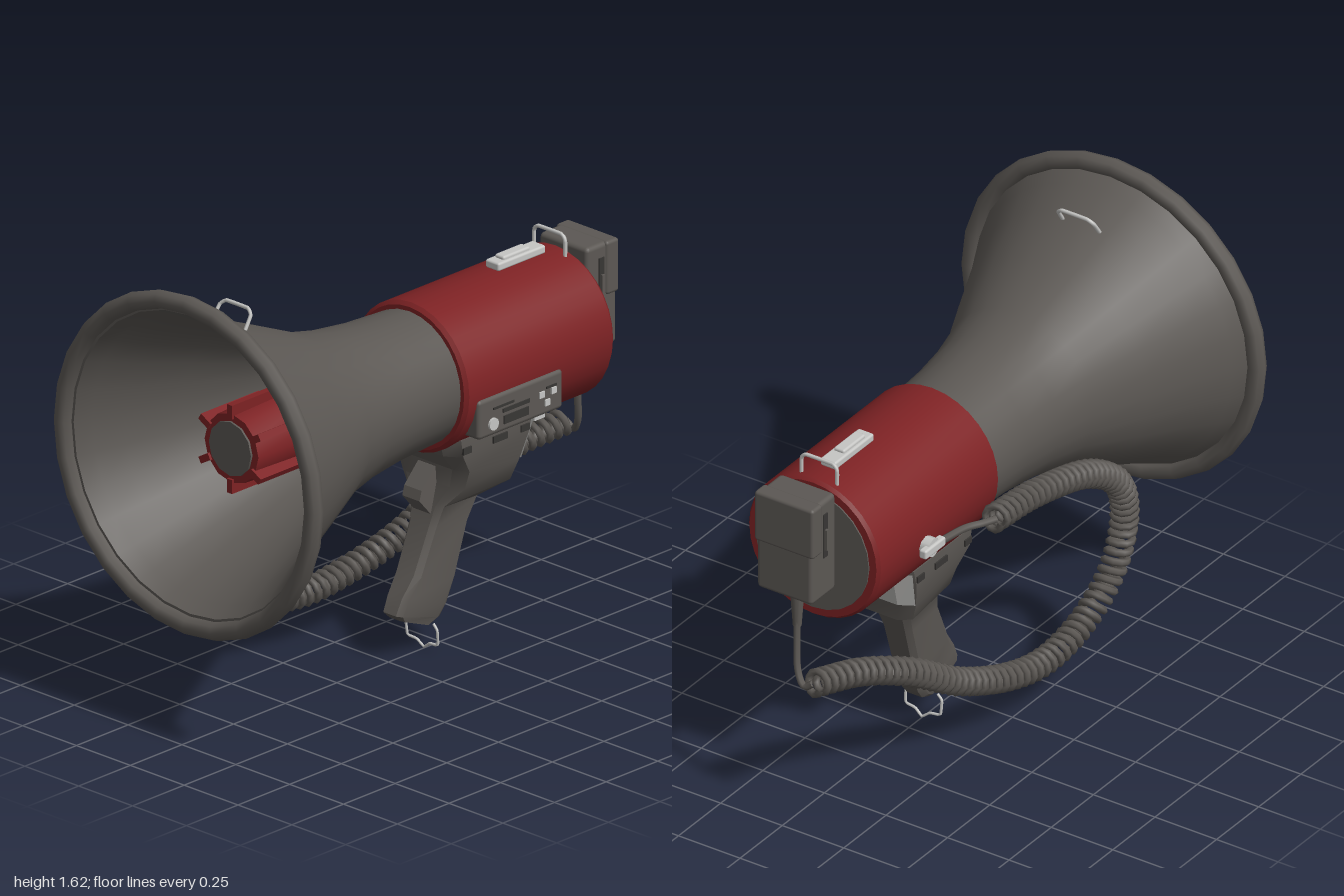
import * as THREE from 'three';
import { toCreasedNormals } from 'three/addons/utils/BufferGeometryUtils.js';
import { RoundedBoxGeometry } from 'three/addons/geometries/RoundedBoxGeometry.js';

const mat = (name, color) => Object.assign(new THREE.MeshStandardMaterial({ color }), { name });
const V = (p) => new THREE.Vector3(...p);
const AXIS = 1.007; // height of the horn axis

export function createModel() {
  const root = new THREE.Group();
  root.name = 'megaphone';
  const dark = mat('darkGrey', 0x5c5854);
  const black = mat('slotGrey', 0x383634);
  const red = mat('red', 0x7d2224);
  const silver = mat('silver', 0xc6c6c4);
  const plateMat = mat('lightGrey', 0xc0bfbc);
  plateMat.side = THREE.DoubleSide;

  const add = (name, geo, material, x = 0, y = 0, z = 0) => {
    const m = new THREE.Mesh(geo, material);
    m.name = name;
    m.position.set(x, y, z);
    root.add(m);
    return m;
  };
  const box = (name, material, x, y, z, w, h, d) => add(name, new THREE.BoxGeometry(w, h, d), material, x, y, z);
  const rbox = (name, material, x, y, z, w, h, d, r) =>
    add(name, new RoundedBoxGeometry(w, h, d, 2, r), material, x, y, z);
  // lathe around the horn axis; profile points are [x, radius]
  const turned = (name, material, profile, sides, crease) => {
    let g = new THREE.LatheGeometry(profile.map(([x, r]) => new THREE.Vector2(r, x)), sides);
    g.rotateZ(-Math.PI / 2);
    if (crease) g = toCreasedNormals(g, crease);
    return add(name, g, material, 0, AXIS, 0);
  };
  const wire = (name, material, pts, r, tension = 0.15, seg = 28) =>
    add(name, new THREE.TubeGeometry(new THREE.CatmullRomCurve3(pts.map(V), false, 'catmullrom', tension), seg, r, 6), material);

  // horn: inner wall from throat to mouth, then outer wall back
  const flare = [[-0.96, 0.555], [-0.9, 0.525], [-0.8, 0.475], [-0.6, 0.39], [-0.4, 0.302],
    [-0.25, 0.268], [-0.1, 0.25], [0.11, 0.239]];
  const inner = flare.map(([x, r]) => [x, r - 0.014]).reverse();
  turned('horn', dark, [[0.11, 0], ...inner, ...flare], 28, 0.7);
  const rim = new THREE.TorusGeometry(0.581, 0.033, 8, 28);
  rim.rotateY(Math.PI / 2);
  add('hornRim', rim, dark, -0.967, AXIS, 0);

  // driver core inside the horn with ribs
  turned('coreTube', dark, [[-0.5, 0.09], [0.1, 0.09]], 16);
  turned('core', red, [[-0.76, 0], [-0.76, 0.125], [-0.45, 0.135], [-0.45, 0]], 12, 0.6);
  turned('coreFace', dark, [[-0.768, 0], [-0.768, 0.098], [-0.755, 0.098]], 12, 0.6);
  for (let i = 0; i < 6; i++) {
    const a = (i * Math.PI) / 3;
    const rib = box('coreRib', red, -0.63, AXIS + 0.135 * Math.cos(a), 0.135 * Math.sin(a), 0.28, 0.05, 0.025);
    rib.rotation.x = a;
  }

  // red body and rear cap
  turned('body', red, [[0.1, 0], [0.1, 0.255], [0.112, 0.268], [0.805, 0.268], [0.818, 0.258], [0.818, 0]], 32, 0.5);
  turned('rearCap', dark, [[0.81, 0.23], [0.823, 0.23], [0.823, 0]], 24, 0.5);

  // control panel on the front side
  rbox('controlPanel', dark, 0.355, 0.908, 0.235, 0.41, 0.142, 0.08, 0.015);
  const knob = new THREE.CylinderGeometry(0.022, 0.022, 0.016, 14);
  knob.rotateX(Math.PI / 2);
  add('knob', knob, silver, 0.217, 0.882, 0.276);
  for (const [x, y, w, h] of [[0.33, 0.915, 0.13, 0.014], [0.33, 0.88, 0.12, 0.03], [0.27, 0.935, 0.1, 0.008], [0.5, 0.935, 0.05, 0.008]])
    box('panelSlot', black, x, y, 0.276, w, h, 0.006);
  for (const [x, y] of [[0.453, 0.917], [0.51, 0.917], [0.48, 0.882]])
    box('panelButton', silver, x, y, 0.277, 0.024, 0.022, 0.008);

  // handle: lofted chamfered sections [frontX, frontY, backX, backY, halfWidth]
  const sections = [
    [0.03, 0.15, 0.17, 0.095, 0.035], [0.005, 0.175, 0.215, 0.115, 0.042], [0.03, 0.23, 0.245, 0.155, 0.046],
    [0.08, 0.3, 0.28, 0.25, 0.056], [0.15, 0.46, 0.335, 0.44, 0.061], [0.17, 0.53, 0.37, 0.525, 0.075],
    [0.19, 0.61, 0.465, 0.575, 0.145], [0.185, 0.68, 0.485, 0.65, 0.17], [0.125, 0.75, 0.52, 0.75, 0.19],
    [0.11, 0.815, 0.54, 0.812, 0.19]];
  const ring = [[1, 0.7], [0.8, 1], [-0.8, 1], [-1, 0.7], [-1, -0.7], [-0.8, -1], [0.8, -1], [1, -0.7]];
  const pos = [], idx = [], n = ring.length, last = sections.length - 1;
  for (const [fx, fy, bx, by, w] of sections)
    for (const [u, v] of ring) {
      const t = (u + 1) / 2;
      pos.push(fx + (bx - fx) * t, fy + (by - fy) * t, v * w);
    }
  for (let s = 0; s < last; s++)
    for (let i = 0; i < n; i++) {
      const a = s * n + i, b = s * n + ((i + 1) % n);
      idx.push(a, a + n, b, b, a + n, b + n);
    }
  for (let i = 1; i < n - 1; i++) {
    idx.push(0, i, i + 1);
    idx.push(last * n, last * n + i + 1, last * n + i);
  }
  // orient outward: the ring runs clockwise seen from above
  for (let i = 0; i < idx.length; i += 3) {
    const [A, B, C] = [0, 1, 2].map((k) => new THREE.Vector3().fromArray(pos, idx[i + k] * 3));
    const normal = B.clone().sub(A).cross(C.clone().sub(A));
    const mid = A.add(B).add(C).divideScalar(3);
    const lo = Math.floor(Math.min(idx[i], idx[i + 1], idx[i + 2]) / n);
    const hi = Math.floor(Math.max(idx[i], idx[i + 1], idx[i + 2]) / n);
    const core = new THREE.Vector3();
    for (const s of [lo, hi]) core.add(new THREE.Vector3((sections[s][0] + sections[s][2]) / 4, (sections[s][1] + sections[s][3]) / 4, 0));
    if (lo === hi) core.y += lo === 0 ? 0.1 : -0.1;
    if (normal.dot(mid.sub(core)) < 0) [idx[i + 1], idx[i + 2]] = [idx[i + 2], idx[i + 1]];
  }
  const hg = new THREE.BufferGeometry();
  hg.setAttribute('position', new THREE.Float32BufferAttribute(pos, 3));
  hg.setIndex(idx);
  add('handle', toCreasedNormals(hg, 0.6), dark);

  // light plate on the sloped back of the handle mount
  const pg = new THREE.BufferGeometry();
  pg.setAttribute('position', new THREE.Float32BufferAttribute(
    [0.492, 0.655, 0.12, 0.492, 0.655, -0.12, 0.546, 0.805, -0.135, 0.546, 0.805, 0.135,
      0.462, 0.655, 0.172, 0.462, 0.655, -0.172, 0.508, 0.805, -0.192, 0.508, 0.805, 0.192], 3));
  pg.setIndex([0, 1, 2, 0, 2, 3, 4, 0, 3, 4, 3, 7, 1, 5, 6, 1, 6, 2]);
  add('mountBackPlate', toCreasedNormals(pg, 0.3), plateMat);

  // trigger
  const ts = new THREE.Shape([[0.165, 0.5], [0.25, 0.52], [0.25, 0.68], [0.185, 0.67], [0.118, 0.6], [0.108, 0.565]]
    .map((p) => new THREE.Vector2(...p)));
  add('trigger', new THREE.ExtrudeGeometry(ts, { depth: 0.08, bevelEnabled: false }), dark, 0, 0, -0.04);
  // small switches on both sides of the mount
  for (const s of [1, -1])
    for (const [x, w] of [[0.18, 0.04], [0.34, 0.07], [0.46, 0.04]])
      box('mountSwitch', black, x, 0.772, s * 0.19, w, 0.024, 0.012);

  // silver fittings: top latch, bottom latch and wire loops
  rbox('topLatch', silver, 0.615, 1.292, 0, 0.23, 0.03, 0.064, 0.008);
  rbox('topLatchCap', silver, 0.6, 1.308, 0, 0.13, 0.022, 0.044, 0.008);
  box('bottomLatch', silver, 0.68, 0.722, 0, 0.115, 0.04, 0.06);
  box('bottomLatchTab', silver, 0.68, 0.71, 0, 0.05, 0.03, 0.1);
  wire('rearLoop', silver, [[0.78, 1.25, 0.072], [0.78, 1.32, 0.072], [0.78, 1.338, 0.055],
    [0.78, 1.338, -0.055], [0.78, 1.32, -0.072], [0.78, 1.25, -0.072]], 0.007);
  wire('hornLoop', silver, [[-0.775, 1.455, 0.075], [-0.742, 1.505, 0.072], [-0.733, 1.522, 0.05],
    [-0.733, 1.522, -0.05], [-0.742, 1.505, -0.072], [-0.775, 1.455, -0.075]], 0.007);
  wire('strapLoop', silver, [[0.16, 0.11, 0.055], [0.16, 0.09, 0.073], [0.165, 0.035, 0.07], [0.168, 0.03, 0.03],
    [0.172, 0.008, 0], [0.168, 0.03, -0.03], [0.165, 0.035, -0.07], [0.16, 0.09, -0.073], [0.16, 0.11, -0.055]], 0.005);

  // microphone hung behind the body
  rbox('microphone', dark, 0.917, 1.09, 0, 0.145, 0.378, 0.225, 0.016);
  rbox('microphoneHead', dark, 0.963, 1.184, 0.0, 0.062, 0.194, 0.24, 0.012);
  box('microphoneBracket', dark, 0.832, 1.01, 0, 0.03, 0.16, 0.09);
  for (const s of [1, -1]) {
    box('talkSlot', black, 0.912, 1.145, s * 0.1135, 0.024, 0.17, 0.006);
    box('talkButton', dark, 0.912, 1.13, s * 0.12, 0.012, 0.08, 0.01);
  }
  add('cordSleeve', new THREE.CylinderGeometry(0.026, 0.015, 0.16, 10), dark, 0.911, 0.83, 0);
  wire('microphoneCord', dark, [[0.911, 0.8, 0], [0.92, 0.7, -0.005], [0.938, 0.6, -0.02], [0.953, 0.55, -0.055], [0.95, 0.57, -0.09]], 0.013, 0.5);

  // plug on the back side of the body
  const plug = new THREE.CylinderGeometry(0.035, 0.035, 0.05, 8);
  plug.rotateX(Math.PI / 2);
  add('plugSocket', plug, silver, 0.54, 0.97, -0.275);
  rbox('plug', silver, 0.54, 0.97, -0.295, 0.12, 0.035, 0.03, 0.008);
  wire('plugCord', dark, [[0.5, 0.97, -0.295], [0.38, 0.967, -0.312], [0.31, 0.962, -0.34], [0.26, 0.96, -0.36]], 0.014, 0.5);

  // coiled cord: a helix wound around a smooth path
  const path = new THREE.CatmullRomCurve3([[0.27, 0.96, -0.352], [0, 0.93, -0.35], [-0.3, 0.85, -0.36], [-0.47, 0.72, -0.36],
    [-0.525, 0.56, -0.345], [-0.47, 0.38, -0.335], [-0.33, 0.25, -0.32], [-0.12, 0.195, -0.31], [0.08, 0.22, -0.29],
    [0.3, 0.3, -0.25], [0.55, 0.45, -0.2], [0.75, 0.53, -0.14], [0.95, 0.57, -0.09]].map(V));
  const turns = 78, steps = turns * 10;
  const frames = path.computeFrenetFrames(steps);
  const helix = [];
  for (let i = 0; i <= steps; i++) {
    const a = (i / 10) * Math.PI * 2;
    helix.push(path.getPointAt(i / steps)
      .addScaledVector(frames.normals[i], 0.039 * Math.cos(a))
      .addScaledVector(frames.binormals[i], 0.039 * Math.sin(a)));
  }
  const coil = new THREE.CatmullRomCurve3(helix);
  coil.arcLengthDivisions = 3000;
  add('coiledCord', new THREE.TubeGeometry(coil, steps, 0.0135, 6), dark);

  return root;
}
